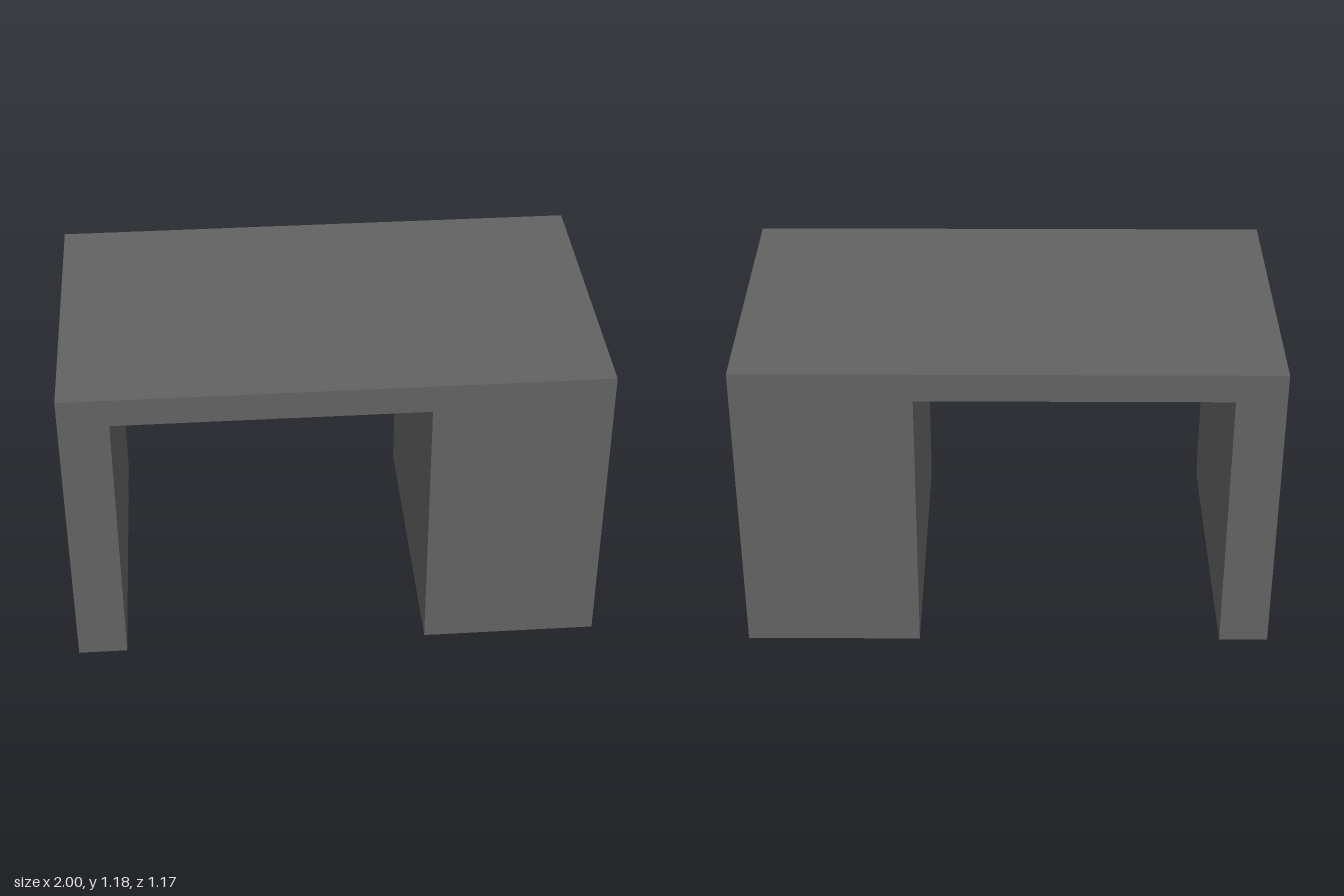
import * as THREE from 'three';

export function createModel() {
  const group = new THREE.Group();
  group.name = 'desk';

  const darkGrey = new THREE.MeshStandardMaterial({ color: 0x626262 });
  darkGrey.name = 'dark grey';

  const height = 1.18, depth = 1.17;

  // Front outline: thin side panel, table top and wide pedestal in one piece
  const outline = new THREE.Shape([
    [-1, 0], [-0.815, 0], [-0.815, 1.07], [0.34, 1.07],
    [0.34, 0], [1, 0], [1, height], [-1, height],
  ].map(([x, y]) => new THREE.Vector2(x, y)));

  const geometry = new THREE.ExtrudeGeometry(outline, { depth, bevelEnabled: false });
  geometry.translate(0, 0, -depth / 2);

  const body = new THREE.Mesh(geometry, darkGrey);
  body.name = 'deskBody';
  group.add(body);

  return group;
}
